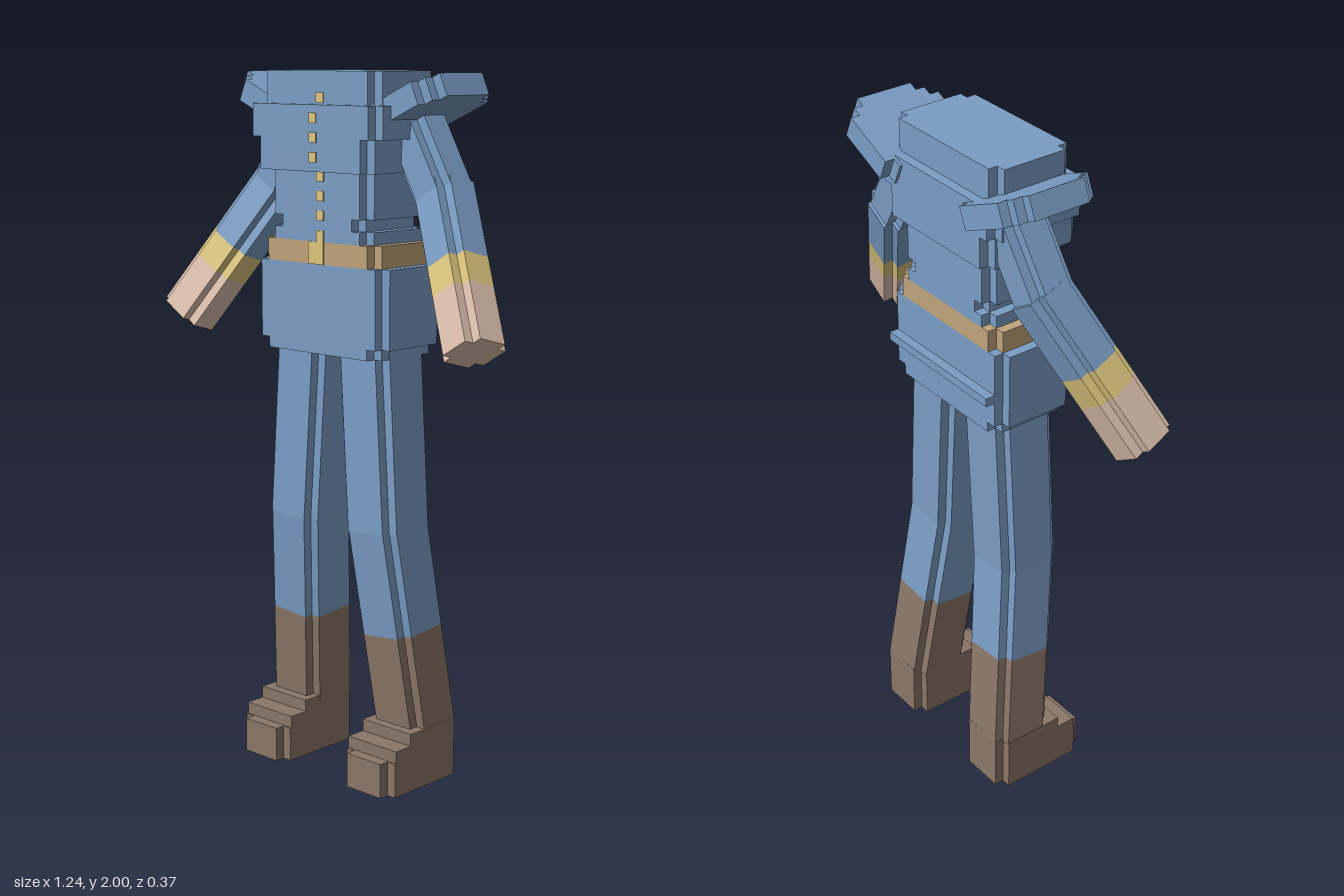
import * as THREE from 'three';

const material = (name, color) => new THREE.MeshStandardMaterial({ name, color, flatShading: true });

// Rectangle whose corners are cut into k square steps of size n
function steppedShape(w, d, n, k) {
  const quarter = [];
  for (let i = 0; i <= k; i++) {
    quarter.push([w / 2 - i * n, d / 2 - (k - i) * n]);
    if (i < k) quarter.push([w / 2 - (i + 1) * n, d / 2 - (k - i) * n]);
  }
  const flipped = [...quarter].reverse();
  const pts = [
    ...quarter,
    ...flipped.map(([x, y]) => [-x, y]),
    ...quarter.map(([x, y]) => [-x, -y]),
    ...flipped.map(([x, y]) => [x, -y]),
  ];
  return new THREE.Shape(pts.map(([x, y]) => new THREE.Vector2(x, y)));
}

// Stepped prism running from point p to point q; d is measured towards the front
function prism(parent, name, mat, p, q, w, d, n = 0.028, k = 1) {
  const axis = q.clone().sub(p);
  const geo = new THREE.ExtrudeGeometry(steppedShape(w, d, n, k), { depth: axis.length(), bevelEnabled: false });
  const zAxis = axis.normalize();
  const yAxis = new THREE.Vector3(0, 0, 1);
  yAxis.addScaledVector(zAxis, -yAxis.dot(zAxis)).normalize();
  const xAxis = yAxis.clone().cross(zAxis);
  geo.applyMatrix4(new THREE.Matrix4().makeBasis(xAxis, yAxis, zAxis).setPosition(p));
  const mesh = new THREE.Mesh(geo, mat);
  mesh.name = name;
  parent.add(mesh);
}

function box(parent, name, mat, [x0, x1], [y0, y1], [z0, z1]) {
  const mesh = new THREE.Mesh(new THREE.BoxGeometry(x1 - x0, y1 - y0, z1 - z0), mat);
  mesh.position.set((x0 + x1) / 2, (y0 + y1) / 2, (z0 + z1) / 2);
  mesh.name = name;
  parent.add(mesh);
}

export function createModel() {
  const blue = material('uniform blue', 0x7a9dc4);
  const brown = material('boot brown', 0x8a7768);
  const tan = material('belt tan', 0xc0a47c);
  const gold = material('trim gold', 0xdcc67c);
  const skin = material('skin', 0xdcbfac);
  const V = (x, y, z) => new THREE.Vector3(x, y, z);

  const model = new THREE.Group();
  model.name = 'uniformedFigure';

  // Torso, stacked from stepped slabs
  const torso = new THREE.Group();
  torso.name = 'torso';
  torso.position.x = -0.0075;
  model.add(torso);
  const slabs = [
    ['jacketHem', blue, 1.225, 1.255, 0.435, 0.25],
    ['jacketSkirt', blue, 1.255, 1.475, 0.495, 0.25],
    ['belt', tan, 1.475, 1.537, 0.437, 0.25],
    ['lowerWaist', blue, 1.537, 1.572, 0.38, 0.25],
    ['waistTuck', blue, 1.572, 1.605, 0.32, 0.25],
    ['upperWaist', blue, 1.605, 1.73, 0.38, 0.25],
    ['lowerChest', blue, 1.73, 1.82, 0.437, 0.307],
    ['upperChest', blue, 1.82, 1.91, 0.495, 0.307],
    ['shoulderYoke', blue, 1.91, 2.0, 0.437, 0.25],
  ];
  for (const [name, mat, y0, y1, w, d] of slabs) {
    prism(torso, name, mat, V(0, y0, 0.005), V(0, y1, 0.005), w, d);
  }
  box(torso, 'backRidge', blue, [-0.22, 0.22], [1.33, 1.355], [-0.148, -0.1]);

  // Buttons and buckle as thin plates
  for (let i = 0; i < 7; i++) {
    const y = 1.928 - i * 0.053;
    const z = i >= 1 && i <= 3 ? 0.1585 : 0.13;
    box(torso, 'button', gold, [0.001, 0.028], [y - 0.0135, y + 0.0135], [z - 0.002, z + 0.003]);
  }
  box(torso, 'buckleTab', gold, [0.001, 0.028], [1.537, 1.568], [0.128, 0.133]);
  box(torso, 'buckle', gold, [-0.03, 0.028], [1.475, 1.537], [0.128, 0.133]);

  for (const s of [1, -1]) {
    const side = s > 0 ? 'left' : 'right';

    // Arm bent forward at the elbow
    const arm = new THREE.Group();
    arm.name = side + 'Arm';
    arm.position.x = -0.004;
    model.add(arm);
    const shoulder = V(s * 0.178, 1.895, -0.05);
    const elbow = V(s * 0.322, 1.66, -0.035);
    const handEnd = V(s * 0.553, 1.285, 0.115);
    const along = (t) => elbow.clone().lerp(handEnd, t);
    prism(arm, 'upperSleeve', blue, shoulder, elbow.clone().lerp(shoulder, -0.06), 0.14, 0.138);
    prism(arm, 'lowerSleeve', blue, along(-0.06), along(0.44), 0.143, 0.143);
    prism(arm, 'cuff', gold, along(0.44), along(0.63), 0.143, 0.143);
    prism(arm, 'hand', skin, along(0.63), along(1), 0.143, 0.143);

    // Shoulder pad flaring up and outwards
    const tilt = THREE.MathUtils.degToRad(24);
    const normal = V(-s * Math.sin(tilt), Math.cos(tilt), 0);
    const centre = V(s * 0.249, 1.91, -0.0425);
    prism(arm, 'shoulderPad', blue,
      centre.clone().addScaledVector(normal, -0.032),
      centre.clone().addScaledVector(normal, 0.032), 0.28, 0.285, 0.028, 2);

    // Leg with a slight knee bend
    const leg = new THREE.Group();
    leg.name = side + 'Leg';
    leg.position.x = -0.003;
    model.add(leg);
    const hip = V(s * 0.12, 1.25, 0.005);
    const knee = V(s * 0.153, 0.74, 0.008);
    const ankle = V(s * 0.208, 0.15, -0.055);
    const down = (t) => knee.clone().lerp(ankle, t);
    prism(leg, 'thigh', blue, hip, knee.clone().lerp(hip, -0.015), 0.187, 0.187);
    prism(leg, 'shin', blue, down(-0.015), down(0.51), 0.185, 0.185);
    prism(leg, 'bootShaft', brown, down(0.51), down(1), 0.185, 0.185);

    // Stepped foot
    const foot = new THREE.Group();
    foot.name = side + 'Foot';
    foot.position.x = s * 0.208;
    leg.add(foot);
    const wide = [-0.092, 0.092], narrow = [-0.064, 0.064];
    box(foot, 'sole', brown, wide, [0, 0.1], [-0.117, 0.135]);
    box(foot, 'instep', brown, wide, [0.1, 0.135], [-0.117, 0.13]);
    box(foot, 'ankleBlock', brown, wide, [0.135, 0.17], [-0.117, 0.07]);
    box(foot, 'toe', brown, narrow, [0, 0.1], [0.135, 0.165]);
    box(foot, 'heel', brown, narrow, [0, 0.17], [-0.146, -0.117]);
  }
  return model;
}
